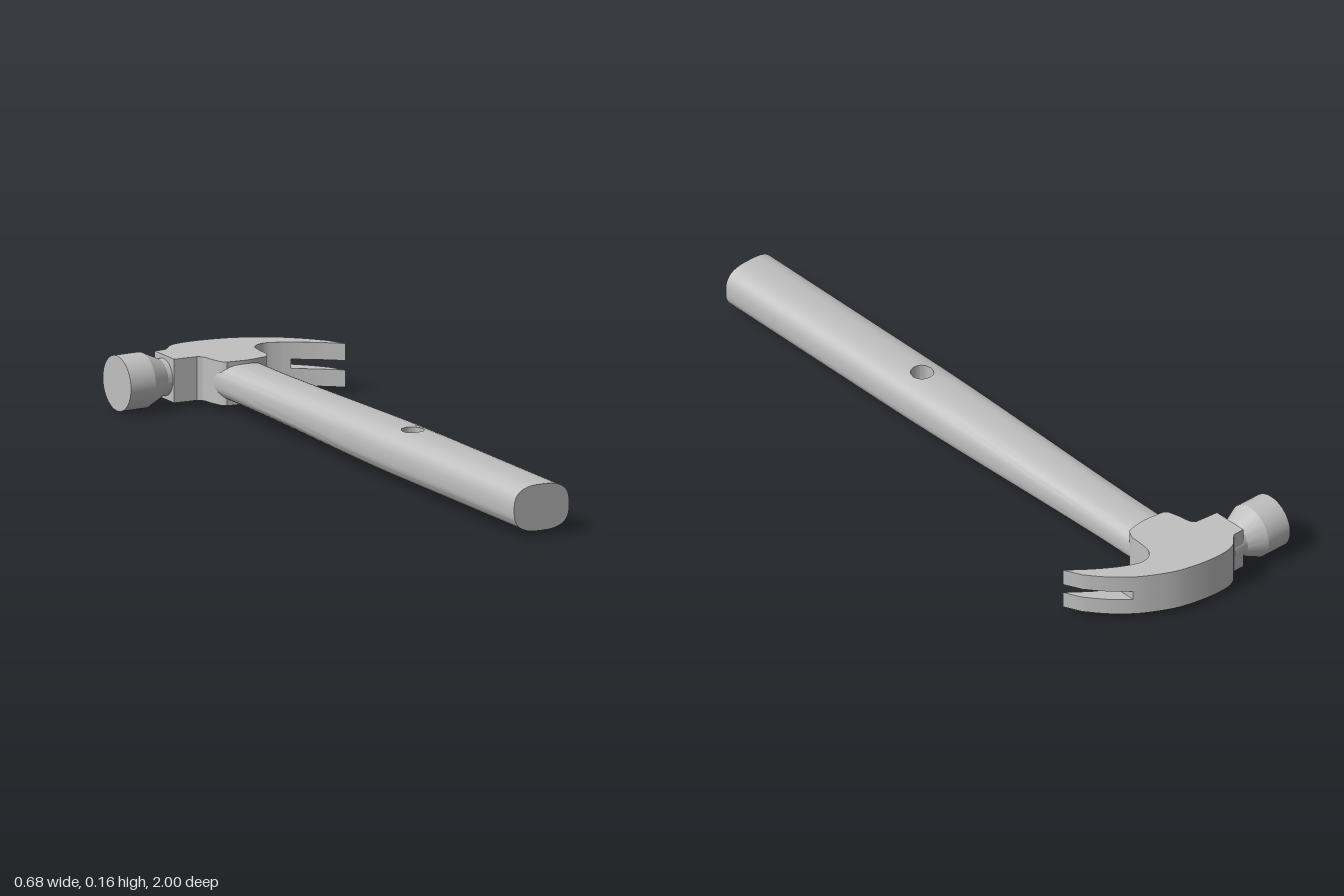
import * as THREE from 'three';
import { toCreasedNormals } from 'three/addons/utils/BufferGeometryUtils.js';

const grey = new THREE.MeshStandardMaterial({ color: 0xc0c0c0 });
grey.name = 'plain grey';

const CX = -0.012, CY = 0.083;            // handle axis
const N = 48, POWER = 2.8;                // handle section: sides, roundness
const HOLE_Z = 0.25, HOLE_R = 0.034;

function addMesh(parent, name, geometry, crease = 0.6) {
  const mesh = new THREE.Mesh(toCreasedNormals(geometry, crease), grey);
  mesh.name = name;
  parent.add(mesh);
}

// Handle half width and half height, slimmer towards the head
const slim = z => THREE.MathUtils.smoothstep(-z, -0.3, 0.72);
const halfW = z => 0.0915 - 0.0135 * slim(z);
const halfH = z => 0.069 - 0.015 * slim(z);

function sectionPoint(i, z) {
  const a = (i / N) * Math.PI * 2;
  const bend = v => Math.sign(v) * Math.pow(Math.abs(v), 2 / POWER);
  return new THREE.Vector3(CX + halfW(z) * bend(Math.cos(a)), CY + halfH(z) * bend(Math.sin(a)), z);
}

// Point on the upper (side 1) or lower (side -1) handle skin above a plan position
function skinPoint(x, z, side) {
  const u = Math.min(1, Math.abs((x - CX) / halfW(z)));
  return new THREE.Vector3(x, CY + side * halfH(z) * Math.pow(1 - Math.pow(u, POWER), 1 / POWER), z);
}

function handleGeometry() {
  const pos = [];
  const tri = (...pts) => pts.forEach(p => pos.push(p.x, p.y, p.z));
  const quad = (a, b, c, d) => { tri(a, b, c); tri(a, c, d); };

  const rows = [-0.78, -0.6, -0.45, -0.3, -0.15, 0, 0.1, 0.18, 0.215, 0.25, 0.285, 0.32, 0.5, 0.75, 1];
  const r0 = 7, r1 = 11, i0 = 7, i1 = 17;   // patch left open around the hole

  // Skin
  for (let r = 0; r < rows.length - 1; r++) {
    for (let i = 0; i < N; i++) {
      const inRows = r >= r0 && r < r1;
      const inSides = (i >= i0 && i < i1) || (i >= N - i1 && i < N - i0);
      if (inRows && inSides) continue;
      quad(sectionPoint(i, rows[r]), sectionPoint(i + 1, rows[r]),
        sectionPoint(i + 1, rows[r + 1]), sectionPoint(i, rows[r + 1]));
    }
  }

  // Flat ends
  const zBack = rows[0], zFront = rows[rows.length - 1];
  for (let i = 0; i < N; i++) {
    tri(new THREE.Vector3(CX, CY, zFront), sectionPoint(i, zFront), sectionPoint(i + 1, zFront));
    tri(new THREE.Vector3(CX, CY, zBack), sectionPoint(i + 1, zBack), sectionPoint(i, zBack));
  }

  // Patch edge, walked once around the hole
  const edge = [];
  for (let i = i0; i < i1; i++) edge.push(sectionPoint(i, rows[r0]));
  for (let r = r0; r < r1; r++) edge.push(sectionPoint(i1, rows[r]));
  for (let i = i1; i > i0; i--) edge.push(sectionPoint(i, rows[r1]));
  for (let r = r1; r > r0; r--) edge.push(sectionPoint(i0, rows[r]));

  const ring = (t, side) => edge.map(p => {
    const d = new THREE.Vector2(p.x - CX, p.z - HOLE_Z);
    d.setLength(THREE.MathUtils.lerp(HOLE_R, d.length(), t));
    return skinPoint(CX + d.x, HOLE_Z + d.y, side);
  });

  // Rings from the patch edge in to the hole, above and below
  for (const side of [1, -1]) {
    for (const [outer, inner] of [[ring(1, side), ring(0.5, side)], [ring(0.5, side), ring(0, side)]]) {
      edge.forEach((_, k) => {
        const n = (k + 1) % edge.length;
        if (side > 0) quad(outer[k], outer[n], inner[n], inner[k]);
        else quad(outer[n], outer[k], inner[k], inner[n]);
      });
    }
  }

  // Hole wall
  const top = ring(0, 1), bottom = ring(0, -1);
  edge.forEach((_, k) => {
    const n = (k + 1) % edge.length;
    quad(top[k], top[n], bottom[n], bottom[k]);
  });

  const geometry = new THREE.BufferGeometry();
  geometry.setAttribute('position', new THREE.Float32BufferAttribute(pos, 3));
  return geometry;
}

// Smooth curve through plan points [x, z], passing exactly through each
function curve(points) {
  const spline = new THREE.SplineCurve(points.map(p => new THREE.Vector2(...p)));
  return spline.getPoints((points.length - 1) * 5);
}

const SLOT_X = 0.21;
const headOutline = [
  new THREE.Vector2(-0.185, -0.95),
  // back of the head out to the claw tip
  ...curve([[-0.148, -0.951], [-0.132, -0.967], [-0.11, -0.988], [-0.07, -0.999], [0, -0.997], [0.085, -0.98],
    [0.155, -0.949], [SLOT_X, -0.915], [0.265, -0.866], [0.312, -0.81]]),
  // tip, inner claw and throat
  ...curve([[0.338, -0.755], [0.27, -0.808], [SLOT_X, -0.847], [0.165, -0.869], [0.135, -0.876],
    [0.108, -0.868], [0.088, -0.843], [0.082, -0.8], [0.08, -0.765], [0.066, -0.737]]),
  // socket edge and cheek
  ...curve([[0.06, -0.733], [0, -0.724], [-0.07, -0.731]]),
  ...curve([[-0.082, -0.742], [-0.092, -0.78], [-0.098, -0.815], [-0.112, -0.83]]),
  new THREE.Vector2(-0.185, -0.836),
];

function headLayer(outline, y0, y1) {
  const geometry = new THREE.ExtrudeGeometry(new THREE.Shape(outline), { depth: y1 - y0, bevelEnabled: false });
  return geometry.rotateX(Math.PI / 2).translate(0, y1, 0);
}

export function createModel() {
  const model = new THREE.Group();
  model.name = 'clawHammer';

  addMesh(model, 'handle', handleGeometry());

  // Head in three layers; the middle one stops short to leave the claw slot
  const head = new THREE.Group();
  head.name = 'head';
  model.add(head);
  const shortOutline = headOutline.filter(p => p.x <= SLOT_X + 0.0001);
  addMesh(head, 'lowerClaw', headLayer(headOutline, 0.018, 0.069));
  addMesh(head, 'headCore', headLayer(shortOutline, 0.069, 0.097));
  addMesh(head, 'upperClaw', headLayer(headOutline, 0.097, 0.148));

  // Striking face, turned about the x axis
  const profile = [[0, -0.15], [0.055, -0.15], [0.055, -0.2], [0.082, -0.257], [0.082, -0.34], [0, -0.34]]
    .map(([r, x]) => new THREE.Vector2(r, -x));
  const face = new THREE.LatheGeometry(profile.slice(), 48);
  face.rotateZ(Math.PI / 2).translate(0, 0.082, -0.898);
  addMesh(head, 'strikingFace', face, 0.4);

  return model;
}
